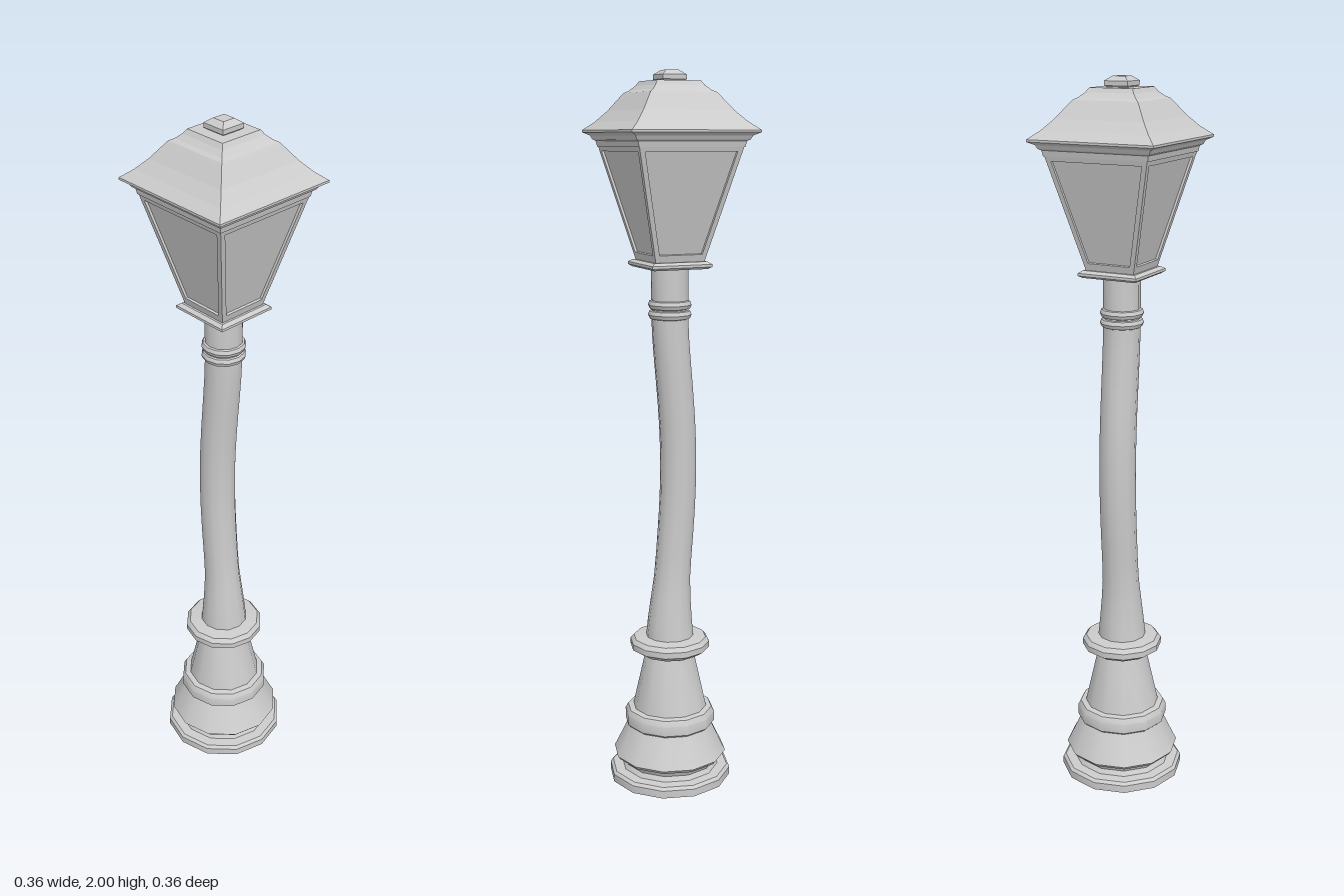
import * as THREE from 'three';
import { toCreasedNormals } from 'three/addons/utils/BufferGeometryUtils.js';

const SIDES = 12;
const smoothMat = new THREE.MeshStandardMaterial({ color: 0xcccccc, side: THREE.DoubleSide });
const flatMat = new THREE.MeshStandardMaterial({ color: 0xcccccc, flatShading: true });

const toPoints = (profile) => profile.map(([r, y]) => new THREE.Vector2(r, y));

// Backward bow of the post: z offset at a given height
function bow(y) {
  const t = THREE.MathUtils.clamp((y - 0.45) / 0.9, 0, 1);
  return -0.026 * Math.pow(Math.sin(Math.PI * Math.pow(t, 1.1)), 1.5);
}

// Turned part with creased edges
function turned(name, profile, bend = false) {
  const geo = new THREE.LatheGeometry(toPoints(profile), SIDES);
  if (bend) {
    const p = geo.attributes.position;
    for (let i = 0; i < p.count; i++) p.setZ(i, p.getZ(i) + bow(p.getY(i)));
  }
  const mesh = new THREE.Mesh(toCreasedNormals(geo, 0.6), smoothMat);
  mesh.name = name;
  return mesh;
}

// Square part: profile of [half width, height]
function square(name, profile) {
  const pts = toPoints(profile.map(([h, y]) => [h * Math.SQRT2, y]));
  const mesh = new THREE.Mesh(new THREE.LatheGeometry(pts, 4, Math.PI / 4), flatMat);
  mesh.name = name;
  return mesh;
}

export function createModel() {
  const group = new THREE.Group();

  // Stepped pedestal, open underneath
  group.add(turned('pedestal', [
    [0.176, 0], [0.176, 0.022], [0.168, 0.03], [0.14, 0.032], [0.132, 0.045],
    [0.14, 0.062], [0.155, 0.065], [0.163, 0.075], [0.155, 0.09], [0.122, 0.16],
    [0.13, 0.167], [0.13, 0.195], [0.122, 0.21], [0.106, 0.213], [0.07, 0.375],
  ]));
  group.add(turned('pedestalRing', [
    [0.068, 0.37], [0.088, 0.378], [0.114, 0.395], [0.114, 0.412], [0.104, 0.424], [0.068, 0.428],
  ]));

  // Bowed post, flared at the foot
  const post = [[0.069, 0.42], [0.063, 0.48], [0.057, 0.54], [0.052, 0.6]];
  for (let i = 1; i <= 12; i++) post.push([0.051, 0.6 + i * 0.0625]);
  post.push([0.051, 1.49]);
  group.add(turned('post', post, true));

  // Two collars near the top of the post
  for (const y of [1.355, 1.382]) {
    group.add(turned('postCollar', [
      [0.048, y - 0.013], [0.056, y - 0.01], [0.06, y], [0.056, y + 0.01], [0.048, y + 0.013],
    ]));
  }

  // Lantern: floor plate, glass, four frames, cornice
  const lantern = new THREE.Group();
  lantern.name = 'lantern';
  lantern.add(square('lanternFloor', [
    [0, 1.482], [0.078, 1.482], [0.087, 1.488], [0.087, 1.495], [0.077, 1.502], [0, 1.502],
  ]));
  const y0 = 1.498, y1 = 1.808, w0 = 0.07, w1 = 0.149, depth = 0.008;
  lantern.add(square('glass', [[w0 - 0.007, y0], [w1 - 0.007, y1]]));

  const slant = Math.hypot(y1 - y0, w1 - w0);
  const widthAt = (s) => w0 + (w1 - w0) * s / slant;
  const trapezoid = (Type, s0, s1, inset) => new Type([
    [-widthAt(s0) + inset, s0], [widthAt(s0) - inset, s0],
    [widthAt(s1) - inset, s1], [-widthAt(s1) + inset, s1],
  ].map(([x, y]) => new THREE.Vector2(x, y)));
  const frameShape = trapezoid(THREE.Shape, 0, slant, 0);
  frameShape.holes.push(trapezoid(THREE.Path, 0.024, slant - 0.018, 0.014));
  const frameGeo = new THREE.ExtrudeGeometry(frameShape, { depth, bevelEnabled: false });
  frameGeo.translate(0, 0, -depth);
  frameGeo.rotateX(Math.atan2(w1 - w0, y1 - y0));
  frameGeo.translate(0, y0, w0);
  for (let i = 0; i < 4; i++) {
    const frame = new THREE.Mesh(frameGeo, flatMat);
    frame.name = 'glassFrame';
    frame.rotation.y = i * Math.PI / 2;
    lantern.add(frame);
  }
  lantern.add(square('cornice', [
    [0, 1.803], [0.15, 1.803], [0.153, 1.818], [0.16, 1.822], [0.165, 1.832], [0.181, 1.84],
  ]));

  // Swept roof with a domed cap and finial
  lantern.add(square('roof', [
    [0.181, 1.84], [0.181, 1.846], [0.154, 1.868], [0.128, 1.896], [0.1, 1.934],
    [0.094, 1.942], [0.083, 1.948], [0.07, 1.96], [0.062, 1.972], [0, 1.972],
  ]));
  lantern.add(square('finial', [
    [0.024, 1.968], [0.034, 1.976], [0.034, 1.988], [0.018, 2], [0, 2],
  ]));
  group.add(lantern);

  return group;
}
